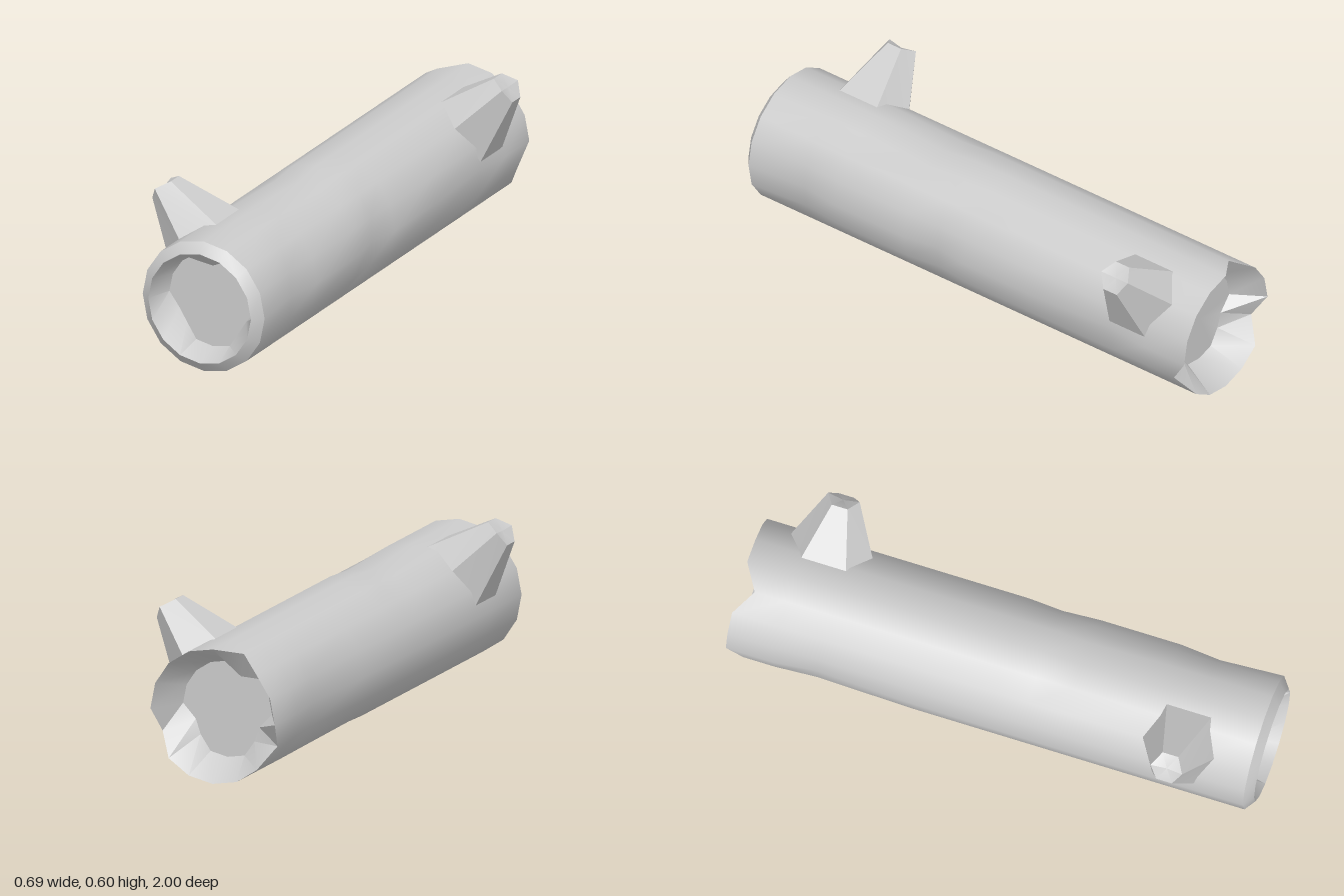
import * as THREE from 'three';
import { toCreasedNormals } from 'three/addons/utils/BufferGeometryUtils.js';

const SIDES = 16, R = 0.253, CY = 0.253;
const mat = new THREE.MeshStandardMaterial({ color: 0xcccccc, side: THREE.DoubleSide });

// Ring of points round the log axis; index 0 is the top, going towards +x.
function ring(z, radius, changes = {}) {
  return Array.from({ length: SIDES }, (_, j) => {
    const a = (j / SIDES) * Math.PI * 2;
    const { r = radius, dz = 0 } = changes[j] || {};
    return [Math.sin(a) * r, CY + Math.cos(a) * r, z + dz];
  });
}

// Joins rings into a skin; optional caps close the first and last ring.
function loft(rings, capFirst, capLast) {
  const pos = [];
  const tri = (...pts) => pts.forEach((p) => pos.push(...p));
  const n = rings[0].length;
  const centre = (r) => [0, 1, 2].map((k) => r.reduce((s, p) => s + p[k], 0) / n);
  const first = rings[0], last = rings[rings.length - 1];
  for (let j = 0; j < n; j++) {
    const m = (j + 1) % n;
    for (let i = 0; i + 1 < rings.length; i++) {
      const a = rings[i], b = rings[i + 1];
      tri(a[j], a[m], b[j]);
      tri(a[m], b[m], b[j]);
    }
    if (capFirst) tri(centre(first), first[m], first[j]);
    if (capLast) tri(centre(last), last[j], last[m]);
  }
  const g = new THREE.BufferGeometry();
  g.setAttribute('position', new THREE.Float32BufferAttribute(pos, 3));
  return g;
}

function part(name, geometry, crease) {
  const mesh = new THREE.Mesh(toCreasedNormals(geometry, crease), mat);
  mesh.name = name;
  return mesh;
}

// Six-sided branch stub: rows of [x, y, half width in z], upper to lower edge.
function branch(name, side, z, base, tip) {
  const loop = (rows) => [
    ...rows.map(([x, y, w]) => [side * x, y, z + w]),
    ...[...rows].reverse().map(([x, y, w]) => [side * x, y, z - w]),
  ];
  let rings = [loop(tip), loop(base)];
  if (side > 0) rings = rings.map((r) => r.reverse());
  return part(name, loft(rings, true, false), 0.35);
}

export function createModel() {
  const group = new THREE.Group();
  group.name = 'hollowLog';

  const dent = (r) => ({ r });
  const notch = { r: R, dz: 0.06 };

  // Bark with shallow dents, notched at the back
  const edge = ring(-1, R, { 5: notch, 11: notch, 15: notch });
  const bark = [
    ring(0.97, R),
    ring(0.73, R, { 3: dent(0.24), 4: dent(0.232), 5: dent(0.24) }),
    ring(0.58, R),
    ring(0.27, R, { 0: dent(0.236), 1: dent(0.243), 15: dent(0.243) }),
    ring(0.13, R, { 3: dent(0.245), 4: dent(0.23), 5: dent(0.24) }),
    ring(0, R),
    ring(-0.3, R, { 7: dent(0.242), 8: dent(0.235), 9: dent(0.242), 12: dent(0.25) }),
    ring(-0.66, R, { 4: dent(0.235), 11: dent(0.244), 12: dent(0.236), 13: dent(0.244) }),
    ring(-0.82, R, { 8: dent(0.24) }),
    edge,
  ];
  group.add(part('bark', loft(bark), 0.7));

  // Bevelled front rim
  const lip = ring(1, 0.213);
  group.add(part('frontRim', loft([lip, bark[0]]), 0.5));

  // Front hollow tapering to a flat floor
  const frontFloor = ring(0.9, 0.181, {
    0: dent(0.134), 5: dent(0.15), 6: dent(0.152), 10: dent(0.152), 11: dent(0.15),
  });
  group.add(part('frontHollow', loft([frontFloor, lip], true), 0.5));

  // Back hollow behind the broken edge
  const backFloor = ring(-0.88, 0.181, {
    5: dent(0.14), 6: dent(0.155), 11: dent(0.14), 10: dent(0.155), 15: dent(0.14),
  });
  group.add(part('backHollow', loft([edge, backFloor], false, true), 0.5));

  // Branch stubs, rooted just inside the bark
  const tip = [[0.27, 0.603, 0.03], [0.32, 0.575, 0.06], [0.347, 0.525, 0.03]];
  group.add(branch('leftBranch', 1, -0.735, [[0.08, 0.492, 0.085], [0.175, 0.43, 0.157], [0.243, 0.29, 0.08]], tip));
  group.add(branch('rightBranch', -1, 0.7, [[0.05, 0.495, 0.085], [0.175, 0.43, 0.137], [0.243, 0.295, 0.08]], tip));

  return group;
}
